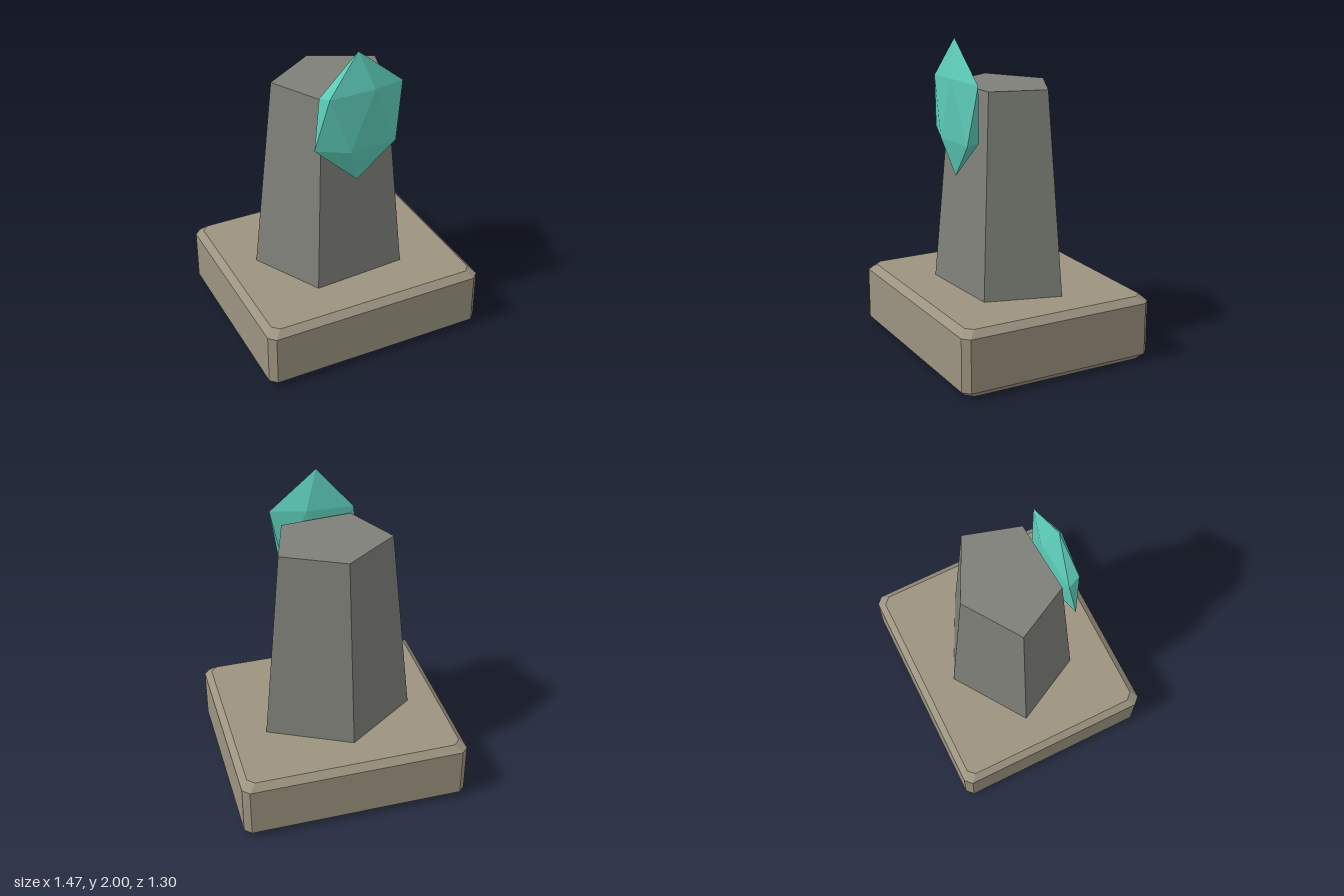
import * as THREE from 'three';
import { ConvexGeometry } from 'three/addons/geometries/ConvexGeometry.js';

const material = (name, color) => {
  const m = new THREE.MeshStandardMaterial({ color });
  m.name = name;
  return m;
};

// Flat-faced solid around a list of [x, y, z] corners
function solid(name, points, mat) {
  const geometry = new ConvexGeometry(points.map((p) => new THREE.Vector3(...p)));
  const mesh = new THREE.Mesh(geometry, mat);
  mesh.name = name;
  return mesh;
}

// Rectangle with cut corners at height y
function octagon(hx, hz, cut, y) {
  const ring = [];
  for (const sx of [-1, 1]) {
    for (const sz of [-1, 1]) {
      ring.push([sx * hx, y, sz * (hz - cut)], [sx * (hx - cut), y, sz * hz]);
    }
  }
  return ring;
}

export function createModel() {
  const sandstone = material('sandstone', 0x9c9380);
  const greyStone = material('grey stone', 0x7e8078);
  const teal = material('teal crystal', 0x5ccbb7);
  const group = new THREE.Group();
  group.name = 'crystalPedestal';

  // Chamfered plinth
  const c = 0.042, hx = 0.735, hz = 0.65, top = 0.42;
  group.add(solid('plinth', [
    ...octagon(hx - c, hz - c, c, 0),
    ...octagon(hx, hz, c, c),
    ...octagon(hx, hz, c, top - c),
    ...octagon(hx - c, hz - c, c, top),
  ], sandstone));

  // Irregular five-sided pillar, tapering upwards
  const foot = [[-0.04, -0.415], [0.475, -0.16], [0.335, 0.312], [-0.272, 0.352], [-0.505, -0.1]];
  const taper = 0.742;
  group.add(solid('pillar', [
    ...foot.map(([x, z]) => [x, top, z]),
    ...foot.map(([x, z]) => [x * taper, 1.7, z * taper]),
  ], greyStone));

  // Flattened crystal: two poles and two uneven five-sided rings
  const upper = [[0.3, 1.75, 0.327], [0.08, 1.77, 0.4], [-0.2, 1.75, 0.37], [-0.23, 1.73, 0.29], [0.08, 1.75, 0.265]];
  const lower = [[0.24, 1.38, 0.37], [-0.075, 1.38, 0.393], [-0.28, 1.41, 0.327], [-0.04, 1.37, 0.265], [0.23, 1.39, 0.287]];
  group.add(solid('crystal', [[0, 2, 0.33], ...upper, ...lower, [0, 1.145, 0.33]], teal));

  return group;
}
